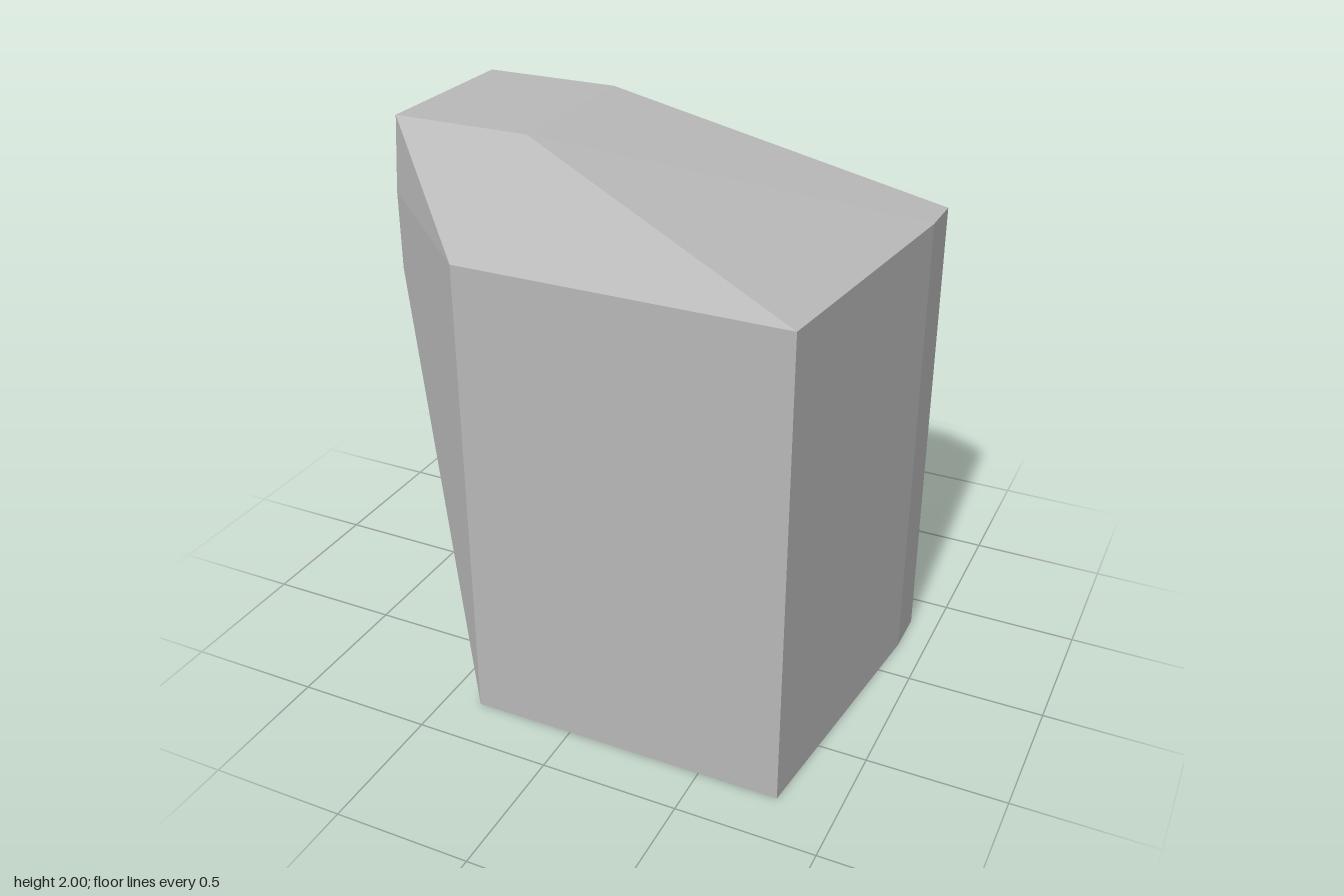
import * as THREE from 'three';
import { ConvexGeometry } from 'three/addons/geometries/ConvexGeometry.js';

const stone = new THREE.MeshStandardMaterial({ color: 0xb8b8b8 });
stone.name = 'stone grey';

// Outline of the back panel: a rectangle with rounded corners
function roundedPanel(x0, x1, y0, y1, z, r, steps) {
  const points = [];
  const corners = [
    [x1 - r, y1 - r], [x0 + r, y1 - r], [x0 + r, y0 + r], [x1 - r, y0 + r],
  ];
  corners.forEach(([cx, cy], i) => {
    for (let s = 0; s <= steps; s++) {
      const a = (i + s / steps) * Math.PI / 2;
      points.push(new THREE.Vector3(cx + r * Math.cos(a), cy + r * Math.sin(a), z));
    }
  });
  return points;
}

export function createModel() {
  const group = new THREE.Group();
  group.name = 'facetedBlock';

  // Corners of each level, as [x, z]
  const levels = [
    [0, [[-0.48, -0.35], [-0.48, -0.18], [-0.37, 0.81], [0.79, 0.81], [0.9, -0.18], [0.9, -0.35]]],
    [1.44, [[-0.9, -0.35], [-0.9, 0.32]]],
    [1.73, [[-0.9, 0.32], [-0.37, 0.81], [0.79, 0.81], [0.9, -0.18], [0.9, -0.35]]],
    [2, [[-0.9, -0.35], [-0.9, 0.29], [-0.38, 0.29], [-0.38, -0.35]]],
  ];
  const points = roundedPanel(-0.34, 0.75, 0.43, 1.3, -0.81, 0.08, 10);
  for (const [y, corners] of levels) {
    for (const [x, z] of corners) points.push(new THREE.Vector3(x, y, z));
  }

  // The block is the convex solid around all corners
  const block = new THREE.Mesh(new ConvexGeometry(points), stone);
  block.name = 'block';
  group.add(block);
  return group;
}
